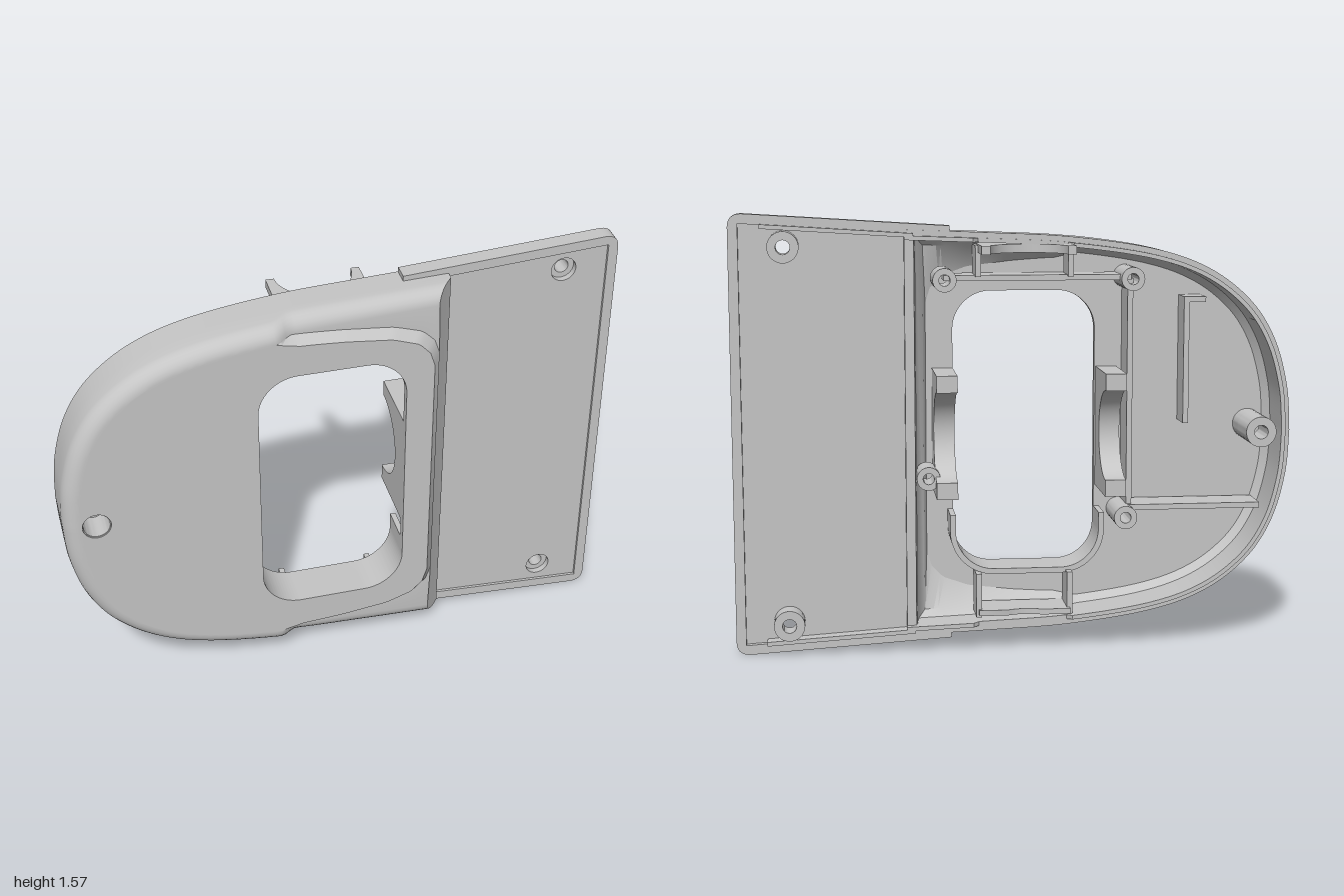
import * as THREE from 'three';
import { toCreasedNormals } from 'three/addons/utils/BufferGeometryUtils.js';

const V2 = (x, y) => new THREE.Vector2(x, y);
const lerp = THREE.MathUtils.lerp;

export function createModel() {
  const model = new THREE.Group();
  const body = new THREE.Group(); // heights are measured from the middle line
  body.position.y = 0.785;
  model.add(body);
  const grey = new THREE.MeshStandardMaterial({ color: 0xc5c5c5, side: THREE.DoubleSide });
  grey.name = 'grey plastic';

  const add = (name, geometry) => {
    const mesh = new THREE.Mesh(toCreasedNormals(geometry, 0.6), grey);
    mesh.name = name;
    body.add(mesh);
  };
  const slab = (name, shape, z0, z1) => {
    const g = new THREE.ExtrudeGeometry(shape, { depth: z1 - z0, bevelEnabled: false, curveSegments: 20 });
    add(name, g.translate(0, 0, z0));
  };
  const box = (name, x0, x1, y0, y1, z0, z1) => {
    const g = new THREE.BoxGeometry(x1 - x0, y1 - y0, z1 - z0);
    add(name, g.translate((x0 + x1) / 2, (y0 + y1) / 2, (z0 + z1) / 2));
  };
  const circle = (x, y, r) => new THREE.Path().absarc(x, y, r, 0, Math.PI * 2, true);
  const boss = (name, x, y, r, hole, z0, z1) => {
    const s = new THREE.Shape().absarc(x, y, r, 0, Math.PI * 2, false);
    s.holes.push(circle(x, y, hole));
    slab(name, s, z0, z1);
  };

  // Outline of the rounded housing, mirrored about the middle line
  const half = new THREE.SplineCurve([
    V2(0.39, 0.727), V2(0.1, 0.716), V2(-0.2, 0.7), V2(-0.5, 0.656), V2(-0.7, 0.585),
    V2(-0.85, 0.47), V2(-0.94, 0.33), V2(-0.988, 0.16), V2(-1, 0)]);
  const N = 90;
  const upper = half.getSpacedPoints(N);
  const outline = [...upper, ...upper.slice(0, N).reverse().map(p => V2(p.x, -p.y))];
  const normals = outline.map((p, i) => {
    const a = outline[Math.max(i - 1, 0)], b = outline[Math.min(i + 1, outline.length - 1)];
    return V2(b.y - a.y, a.x - b.x).normalize();
  });
  const endX = z => lerp(0.39, 0.3, THREE.MathUtils.clamp((z - 0.045) / 0.11, 0, 1));
  // One ring: inset and height may vary along x, the right end follows the slope
  const ring = (inset, height, back = 0) => outline.map((p, i) => {
    const d = inset(p.x), z = height(p.x), n = normals[i];
    let x = p.x - n.x * d;
    if (x > 0) x *= (endX(z) - back) / 0.39;
    return new THREE.Vector3(x, p.y - n.y * d, z);
  });
  const loft = (rings, closed) => {
    const n = outline.length, pos = [], idx = [];
    rings.forEach(r => r.forEach(p => pos.push(p.x, p.y, p.z)));
    for (let j = 0; j < rings.length - 1; j++) {
      for (let i = 0; i < (closed ? n : n - 1); i++) {
        const a = j * n + i, b = j * n + (i + 1) % n;
        idx.push(a, b, b + n, a, b + n, a + n);
      }
    }
    const g = new THREE.BufferGeometry();
    g.setAttribute('position', new THREE.Float32BufferAttribute(pos, 3));
    g.setIndex(idx);
    return g;
  };

  // Shoulder: lower band along both sides near the right end
  const shoulderZ = x => lerp(0.16, 0.122, THREE.MathUtils.smoothstep(x, -0.25, -0.18));
  const steps = [[-0.25, 0.06], [-0.17, 0.085], [0, 0.105], [0.2, 0.132], [0.32, 0.17], [0.37, 0.215], [0.39, 0.27]];
  const faceInset = x => {
    if (x <= steps[0][0]) return steps[0][1];
    const k = steps.findIndex(s => x <= s[0]);
    if (k < 0) return 0.27;
    const [a, b] = [steps[k - 1], steps[k]];
    return lerp(a[1], b[1], (x - a[0]) / (b[0] - a[0]));
  };
  const R = 0.055;
  const faceRing = ring(faceInset, () => 0.16);
  const rings = [
    faceRing.map(p => new THREE.Vector3(p.x, p.y, 0.13)),
    ring(() => 0.06, x => shoulderZ(x) - 0.03, 0.035),
    ring(() => 0.035, x => shoulderZ(x) - 0.06, 0.035),
    ring(() => 0.035, () => -0.045, 0.035),
    ring(() => 0, () => -0.045),
    ring(() => 0, () => 0.045)];
  for (let k = 0; k <= 6; k++) {
    const a = k / 6 * Math.PI / 2;
    rings.push(ring(() => R * (1 - Math.cos(a)), x => shoulderZ(x) - R + R * Math.sin(a)));
  }
  rings.push(ring(x => Math.max(0.057, faceInset(x) - 0.025), shoulderZ), faceRing);
  add('housingShell', loft(rings, true));

  // Front face with the rounded window and the left screw hole
  const face = new THREE.Shape(faceRing.map(p => V2(p.x, p.y)));
  const win = new THREE.Path(), [L, Rt, H, c] = [-0.31, 0.21, 0.5, 0.14];
  win.moveTo(L + c, -H);
  win.lineTo(Rt - c, -H);
  win.absarc(Rt - c, -H + c, c, -Math.PI / 2, 0, false);
  win.absarc(Rt - c, H - c, c, 0, Math.PI / 2, false);
  win.absarc(L + c, H - c, c, Math.PI / 2, Math.PI, false);
  win.absarc(L + c, -H + c, c, Math.PI, Math.PI * 1.5, false);
  face.holes.push(win, circle(-0.885, 0, 0.05));
  slab('frontFace', face, 0.13, 0.16);

  // Thin locating lip on the back rim, lowered at the round cradle
  const lipZ = x => (x > -0.2 && x < 0.13 ? -0.05 : -0.07);
  add('housingLip', loft([
    ring(() => 0.035, () => -0.04), ring(() => 0.035, lipZ),
    ring(() => 0.02, lipZ), ring(() => 0.02, () => -0.04)], false));

  // Flat side plate: edge frame, floor and lips
  const frame = new THREE.Shape();
  frame.moveTo(0.23, 0.74);
  frame.lineTo(0.23, 0.705);
  frame.lineTo(0.965, 0.75);
  frame.lineTo(0.965, -0.75);
  frame.lineTo(0.23, -0.705);
  frame.lineTo(0.23, -0.74);
  frame.lineTo(0.95, -0.784);
  frame.quadraticCurveTo(1, -0.785, 1, -0.735);
  frame.lineTo(1, 0.735);
  frame.quadraticCurveTo(1, 0.785, 0.95, 0.784);
  slab('plateFrame', frame, -0.042, 0.018);
  const floor = new THREE.Shape([V2(0.35, -0.715), V2(0.967, -0.752), V2(0.967, 0.752), V2(0.35, 0.715)]);
  floor.holes.push(circle(0.81, 0.67, 0.045), circle(0.81, -0.67, 0.045));
  slab('plateFloor', floor, -0.02, 0.008);
  for (const s of [1, -1]) {
    const lip = new THREE.Shape([V2(0.36, s * 0.7), V2(0.89, s * 0.733), V2(0.89, s * 0.748), V2(0.36, s * 0.715)]);
    slab('plateLip', lip, -0.07, -0.02);
    boss('plateBoss', 0.81, s * 0.67, 0.055, 0.025, -0.095, -0.015);
  }

  // Screw bosses inside the housing
  boss('leftBoss', -0.885, 0, 0.055, 0.047, 0.05, 0.155);
  boss('leftBoss', -0.885, 0, 0.055, 0.025, -0.095, 0.05);
  for (const [x, y, z] of [[0.25, 0.55, 0.09], [-0.42, 0.55, 0.13], [-0.4, -0.31, 0.13], [0.31, -0.155, 0.06]])
    boss('innerPost', x, y, 0.042, 0.02, -0.06, z);

  // Cradles: upright plates with a round cut open to the back
  const cradle = (hw, r, centre, top, bottom, thickness) => {
    const s = new THREE.Shape(), a = Math.asin((centre - top) / r);
    s.moveTo(-hw, bottom);
    s.lineTo(hw, bottom);
    s.lineTo(hw, top);
    s.lineTo(r * Math.cos(a), top);
    s.absarc(0, centre, r, -a, -Math.PI + a, true);
    s.lineTo(-hw, top);
    const g = new THREE.ExtrudeGeometry(s, { depth: thickness, bevelEnabled: false, curveSegments: 24 });
    return g.rotateX(-Math.PI / 2);
  };
  add('topCradle', cradle(0.165, 0.135, 0.18, 0.18, -0.09, 0.03).translate(-0.035, 0.645, 0));
  add('bottomCradle', cradle(0.165, 0.135, 0.18, 0.06, -0.09, 0.02).translate(-0.035, -0.66, 0));
  for (const x of [-0.315, 0.285])
    add('windowCradle', cradle(0.22, 0.16, 0.12, 0.12, -0.135, 0.075).rotateZ(Math.PI / 2).translate(x, 0, 0));

  // Skirt around the lower end of the window
  const skirt = new THREE.Shape();
  skirt.moveTo(L, -0.3);
  skirt.lineTo(L - 0.02, -0.3);
  skirt.absarc(L + c, -H + c, c + 0.02, Math.PI, Math.PI * 1.5, false);
  skirt.absarc(Rt - c, -H + c, c + 0.02, -Math.PI / 2, 0, false);
  skirt.lineTo(Rt + 0.02, -0.3);
  skirt.lineTo(Rt, -0.3);
  skirt.absarc(Rt - c, -H + c, c, 0, -Math.PI / 2, true);
  skirt.absarc(L + c, -H + c, c, -Math.PI / 2, -Math.PI, true);
  slab('windowSkirt', skirt, 0, 0.14);

  // Stiffening ribs
  box('upperRib', -0.42, 0.25, 0.545, 0.565, -0.02, 0.12);
  box('lowerRib', -0.9, -0.4, -0.29, -0.27, -0.02, 0.12);
  box('middleRib', -0.43, -0.41, -0.29, 0.55, 0, 0.14);
  box('leftRib', -0.64, -0.62, 0.02, 0.48, 0.02, 0.14);
  box('leftRibEnd', -0.7, -0.62, 0.46, 0.48, 0.02, 0.14);
  for (const x of [-0.2, 0.13]) {
    box('sideRib', x - 0.01, x + 0.01, 0.56, 0.67, -0.04, 0.09);
    box('sideRib', x - 0.01, x + 0.01, -0.67, -0.51, -0.04, 0.09);
  }
  return model;
}
